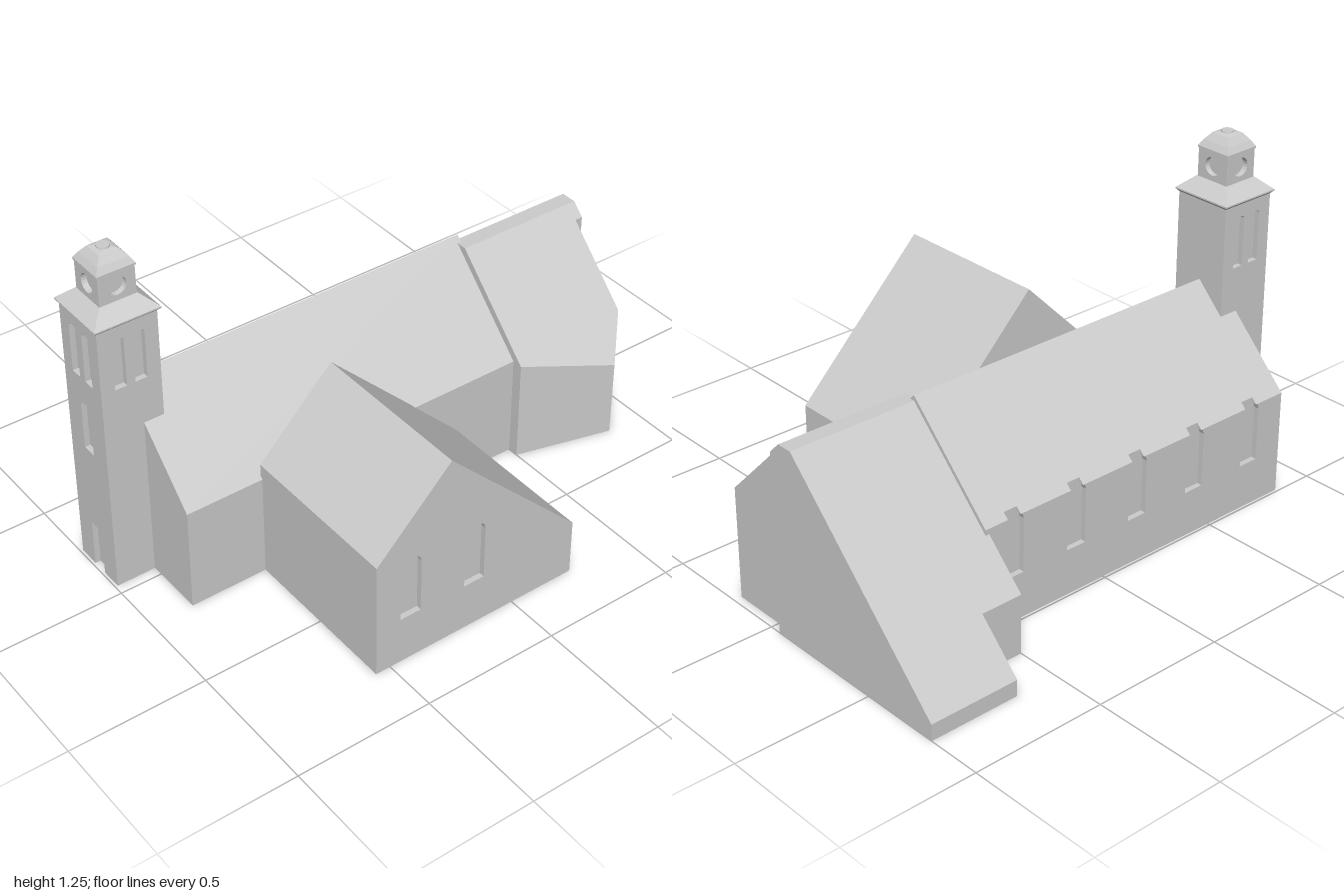
import * as THREE from 'three';

export function createModel() {
  const model = new THREE.Group();
  model.name = 'church';
  const stone = new THREE.MeshStandardMaterial({ color: 0xcccccc, flatShading: true });
  stone.name = 'pale grey stone';
  const RECESS = 0.02;

  const add = (geometry, name, parent = model) => {
    const mesh = new THREE.Mesh(geometry, stone);
    mesh.name = name;
    parent.add(mesh);
    return mesh;
  };
  const polygon = (pts) => new THREE.Shape(pts.map(([x, y]) => new THREE.Vector2(x, y)));
  const rect = (x0, y0, x1, y1) => [[x0, y0], [x1, y0], [x1, y1], [x0, y1]];
  const extrude = (shape, depth) =>
    new THREE.ExtrudeGeometry(shape, { depth, bevelEnabled: false, curveSegments: 10 });

  // Upright block on a plan of [x, z] corners, its top lifted to a sloping roof plane
  const roofedBlock = (name, plan, roof) => {
    const g = extrude(polygon(plan.map(([x, z]) => [x, -z])), 1);
    g.rotateX(-Math.PI / 2);
    const p = g.attributes.position;
    for (let i = 0; i < p.count; i++) {
      if (p.getY(i) > 0.5) p.setY(i, roof(p.getX(i), p.getZ(i)));
    }
    g.computeVertexNormals();
    add(g, name);
  };

  // Arched opening; rise is the height of the arch
  const arch = (cx, y0, y1, w, rise = w / 2) => {
    const h = new THREE.Path();
    h.moveTo(cx - w / 2, y0);
    h.lineTo(cx + w / 2, y0);
    h.lineTo(cx + w / 2, y1 - rise);
    h.absellipse(cx, y1 - rise, w / 2, rise, 0, Math.PI, false);
    h.closePath();
    return h;
  };
  const circle = (x, y, r) => new THREE.Path().absarc(x, y, r, 0, Math.PI * 2, true);

  // Thin outer wall with openings, facing +z before turning
  const panel = (name, outline, holes, parent, x, z, turn = 0) => {
    const shape = polygon(outline);
    shape.holes.push(...holes);
    const g = extrude(shape, RECESS);
    g.translate(0, 0, -RECESS);
    const mesh = add(g, name, parent);
    mesh.position.set(x, 0, z);
    mesh.rotation.y = turn;
  };

  // Nave
  const X0 = -0.845, X1 = 0.515;
  roofedBlock('naveFront', rect(X0, -0.15, X1, 0.19), (x, z) => 0.58 - z);
  roofedBlock('naveBack', rect(X0, -0.47, X1, -0.15), (x, z) => 0.88 + z);

  // Back wall of the nave, with windows that break through the eaves
  const centres = [0.395, 0.125, -0.15, -0.42, -0.69];
  const outline = [[X0, 0], [X1, 0], [X1, 0.39]];
  for (const c of centres) {
    outline.push([c + 0.033, 0.39], [c + 0.04, 0.37], [c + 0.04, 0.17],
      [c - 0.04, 0.17], [c - 0.04, 0.37], [c - 0.033, 0.39]);
  }
  outline.push([X0, 0.39]);
  const backWall = extrude(polygon(outline), RECESS);
  backWall.translate(0, 0, -0.49);
  add(backWall, 'naveBackWall');

  // Strips of roof edge between those windows
  const stops = [X1, ...centres.flatMap((c) => [c + 0.027, c - 0.027]), X0];
  for (let i = 0; i < stops.length; i += 2) {
    const g = extrude(polygon([[0.49, 0.39], [0.47, 0.39], [0.47, 0.41]].reverse()), stops[i] - stops[i + 1]);
    g.rotateY(Math.PI / 2);
    g.translate(stops[i + 1], 0, 0);
    // profile runs along -z after the turn
    add(g, 'naveEave');
  }

  // Front wing with an uneven gable
  roofedBlock('wingLeftHalf', rect(-0.555, 0.18, -0.27, 0.78), (x) => 1 + x);
  roofedBlock('wingRightHalf', rect(-0.27, 0.18, 0.25, 0.78), (x) => 0.46 - x);
  panel('wingGable', [[-0.555, 0], [0.25, 0], [0.25, 0.21], [-0.27, 0.73], [-0.555, 0.445]],
    [arch(-0.42, 0.18, 0.42, 0.08), arch(-0.165, 0.18, 0.42, 0.08)], model, 0, 0.8);

  // Choir: angled front, flat ridge, long back slope
  roofedBlock('choirFront', [[0.5, -0.09], [1, -0.09], [1, -0.045], [0.97, -0.045],
    [0.97, 0.205], [0.855, 0.325], [0.5, 0.23]], (x, z) => 0.62 - z);
  roofedBlock('choirRidge', rect(0.5, -0.15, 1, -0.09), () => 0.71);
  roofedBlock('choirBack', [[0.5, -0.15], [0.5, -0.64], [0.66, -0.64], [0.66, -0.8],
    [1, -0.8], [1, -0.15]], (x, z) => 0.86 + z);

  // Tower
  const tower = new THREE.Group();
  tower.name = 'tower';
  tower.position.set(-0.88, 0, -0.148);
  model.add(tower);
  const box = (name, x0, x1, y0, y1, halfZ) => {
    const g = new THREE.BoxGeometry(x1 - x0, y1 - y0, halfZ * 2);
    g.translate((x0 + x1) / 2, (y0 + y1) / 2, 0);
    add(g, name, tower);
  };
  const H = 0.11, inner = H - RECESS;
  box('towerCore', -inner, H, 0, 1.03, inner);
  const belfry = () => [-0.0375, 0.0375].map((x) => arch(x, 0.79, 0.98, 0.044, 0.012));
  panel('towerFront', rect(-H, 0, H, 1.03), belfry(), tower, 0, H);
  panel('towerBack', rect(-H, 0, H, 1.03), belfry(), tower, 0, -H, Math.PI);
  panel('towerLeftSide', [[-inner, 0], [-0.03, 0], [-0.03, 0.18], [0.03, 0.18], [0.03, 0],
    [inner, 0], [inner, 1.03], [-inner, 1.03]],
  [...belfry(), arch(0, 0.5, 0.69, 0.055, 0.012)], tower, -H, 0, -Math.PI / 2);

  // Square tapering roofs from [half width, height] profiles
  const squareLathe = (name, pts) => add(new THREE.LatheGeometry(
    pts.map(([r, y]) => new THREE.Vector2(r * Math.SQRT2, y)), 4, Math.PI / 4), name, tower);
  squareLathe('towerCornice', [[0, 1.025], [H, 1.025], [0.12, 1.035], [0.12, 1.04], [0.07, 1.085], [0, 1.085]]);
  squareLathe('lanternCap', [[0, 1.19], [0.07, 1.19], [0.07, 1.197], [0.056, 1.22], [0.036, 1.245], [0.022, 1.25], [0, 1.25]]);

  // Lantern with a round recess on each side
  const L = 0.067, core = L - RECESS;
  box('lanternCore', -core, core, 1.08, 1.195, core);
  for (let i = 0; i < 4; i++) {
    const a = i * Math.PI / 2, w = i % 2 ? core : L;
    panel('lanternSide', rect(-w, 1.08, w, 1.195), [circle(0, 1.138, 0.034)],
      tower, Math.sin(a) * L, Math.cos(a) * L, a);
  }
  const knob = new THREE.CylinderGeometry(0.022, 0.025, 0.015, 16);
  knob.translate(0, 1.2475, 0);
  add(knob, 'lanternKnob', tower);

  return model;
}
